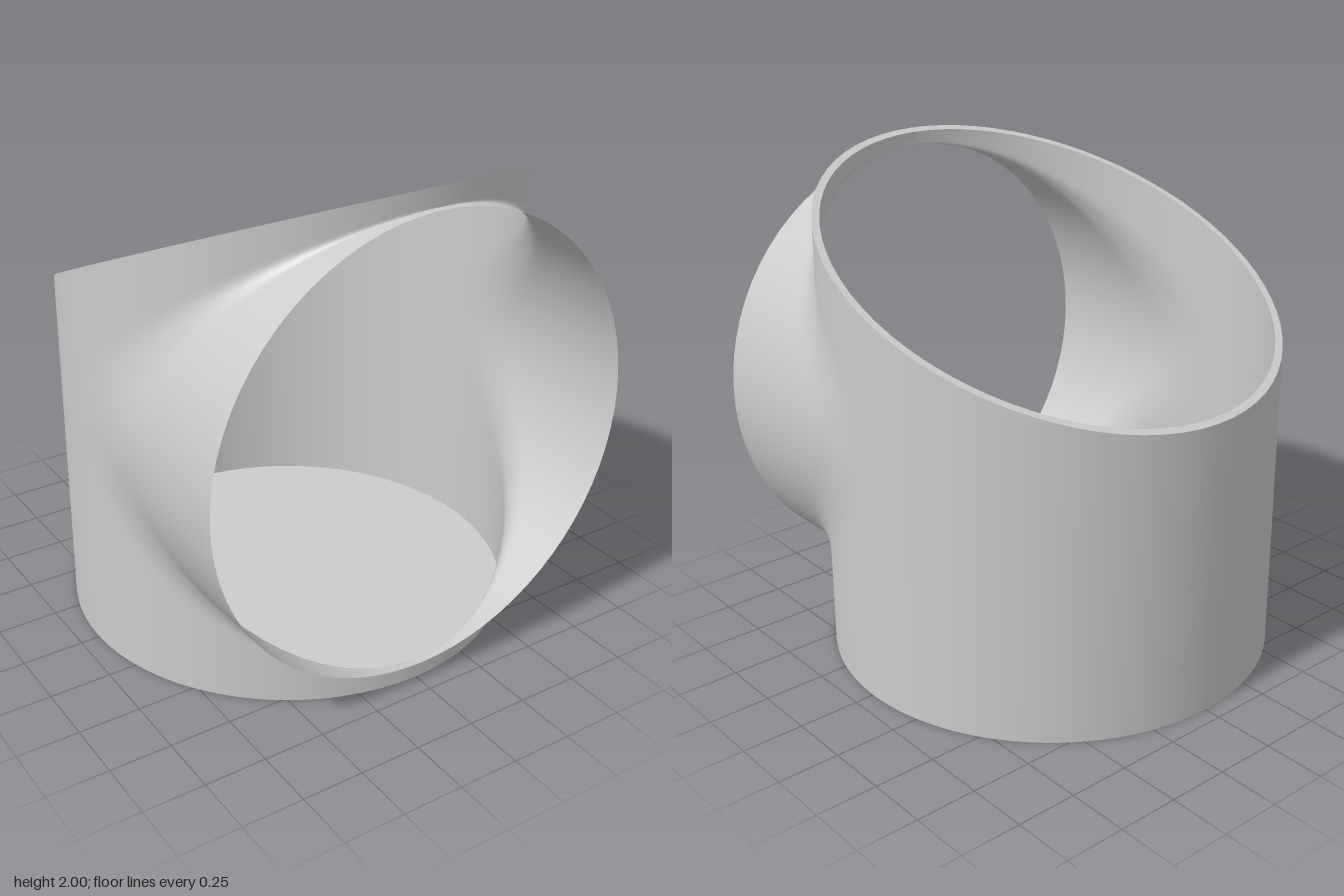
import * as THREE from 'three';
import { mergeGeometries, mergeVertices } from 'three/addons/utils/BufferGeometryUtils.js';

const R = 0.92;          // radius of the upright body and of the front opening
const MID = 1.005;       // height of the opening's axis
const MOUTH = 0.95;      // front end of the opening, before centring
const LIP = 0.03;        // width and depth of the top lip
const BLEND = 0.3;       // fillet width at the sides, fading to nothing at the front
const topY = z => 1.6 + 0.435 * z;   // slanted cut

// Grid surface from point(u, v), u and v in 0..1, front side along du x dv
function grid(nu, nv, point) {
  const pos = [], index = [];
  for (let i = 0; i <= nu; i++)
    for (let j = 0; j <= nv; j++) pos.push(...point(i / nu, j / nv));
  for (let i = 0; i < nu; i++)
    for (let j = 0; j < nv; j++) {
      const a = i * (nv + 1) + j, b = a + nv + 1;
      index.push(a, b, b + 1, a, b + 1, a + 1);
    }
  const g = new THREE.BufferGeometry();
  g.setAttribute('position', new THREE.Float32BufferAttribute(pos, 3));
  g.setIndex(index);
  return g;
}

// Half width of the two crossing cylinders with a fillet between them
function halfWidth(y, z) {
  if (z <= 0) return Math.sqrt(Math.max(0, R * R - z * z));
  const b = Math.abs(y - MID);
  const k = Math.max(1e-6, BLEND * (1 - Math.max(z, b) / R));
  const d = Math.max(0, k - Math.abs(z - b));
  const s = Math.max(0, Math.min(z, b) - d * d / (4 * k));
  return Math.sqrt(Math.max(0, R * R - s * s));
}
const skin = (side, y, z) => [Math.sign(side) * halfWidth(y, z), y, z];

function shellGeometry() {
  const wall = (from, to, low, high, nv) => grid(36, nv, (u, v) => {
    const t = from + (to - from) * u, z = R * Math.cos(t);
    return skin(Math.sin(t), THREE.MathUtils.lerp(low(z), high(z), v), z);
  });
  const H = Math.PI / 2;
  const patches = [
    wall(-H, H, () => 0, z => MID - z, 16),       // front wall under the opening
    wall(-H, H, z => MID + z, topY, 16),          // front wall over the opening
    wall(H, 3 * H, () => 0, topY, 1),             // back wall
    grid(72, 16, (u, v) => {                      // horizontal sleeve
      const t = u * Math.PI * 2, c = Math.cos(t);
      return skin(Math.sin(t), MID - R * c, THREE.MathUtils.lerp(R * Math.abs(c), MOUTH, v));
    }),
  ];
  const g = mergeVertices(mergeGeometries(patches), 1e-4);
  g.computeVertexNormals();
  return g;
}

// Lip turned inwards along the slanted cut: top, inner and under faces
function lipGeometry() {
  const profile = [[R, 0], [R - LIP, 0], [R - LIP, -LIP], [R, -LIP]];
  const strips = [0, 1, 2].map(i => {
    const [p, q] = [profile[i], profile[i + 1]];
    const g = grid(72, 1, (u, v) => {
      const t = u * Math.PI * 2, r = p[0] + (q[0] - p[0]) * v;
      const z = r * Math.cos(t);
      return [r * Math.sin(t), topY(z) + p[1] + (q[1] - p[1]) * v, z];
    });
    g.computeVertexNormals();
    return g;
  });
  return mergeGeometries(strips);
}

export function createModel() {
  const group = new THREE.Group();
  group.name = 'slantedContainer';
  const material = new THREE.MeshStandardMaterial({ color: 0xcccccc, side: THREE.DoubleSide });
  const add = (name, geometry) => {
    const mesh = new THREE.Mesh(geometry, material);
    mesh.name = name;
    mesh.position.z = -0.01;
    group.add(mesh);
  };
  add('shell', shellGeometry());
  add('topLip', lipGeometry());
  add('floor', new THREE.CircleGeometry(R, 72).rotateX(-Math.PI / 2));
  return group;
}
